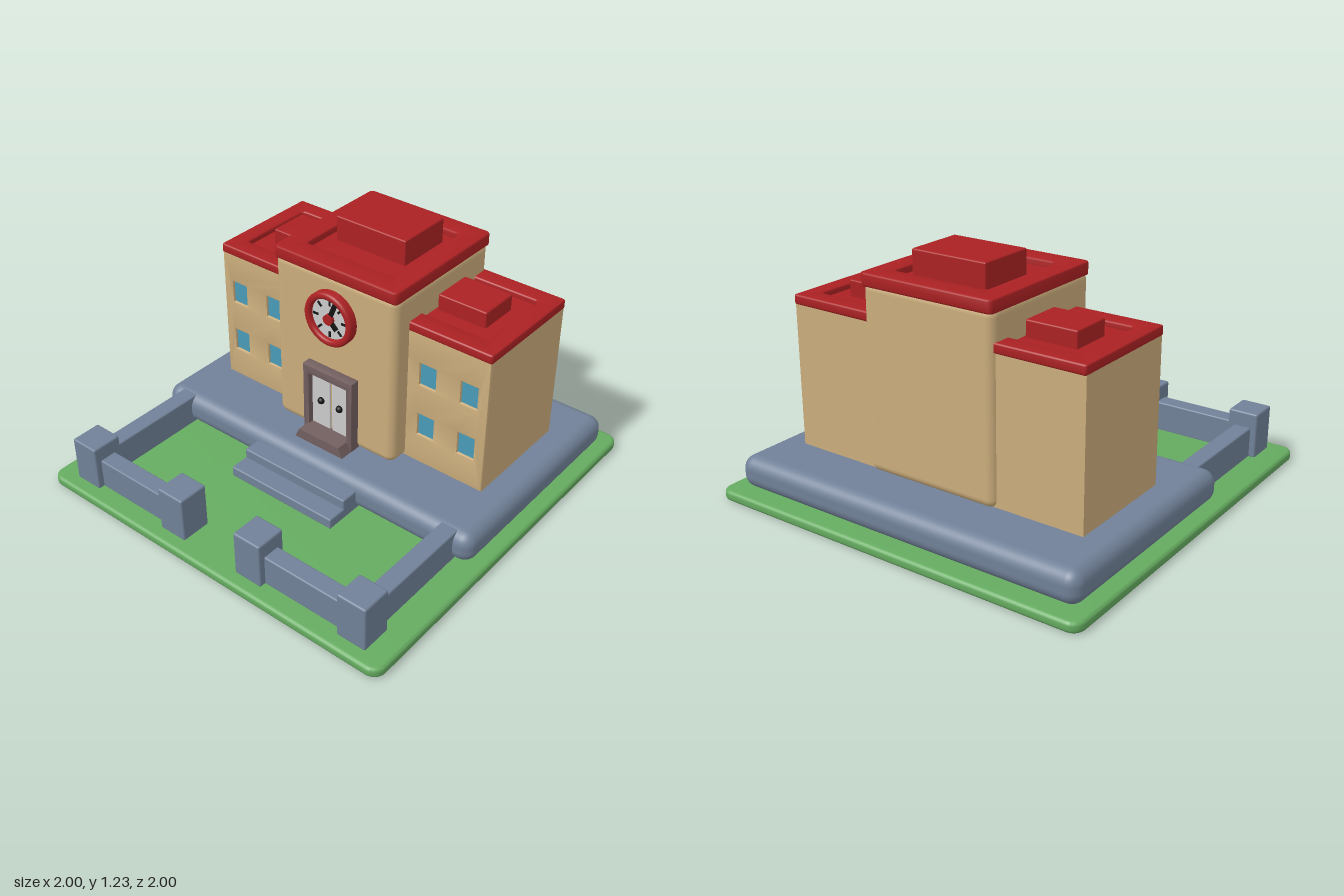
import * as THREE from 'three';
import { RoundedBoxGeometry } from 'three/addons/geometries/RoundedBoxGeometry.js';
import { toCreasedNormals } from 'three/addons/utils/BufferGeometryUtils.js';

const mat = (color) => new THREE.MeshStandardMaterial({ color });

export function createModel() {
  const root = new THREE.Group();
  root.name = 'schoolhouse';
  const grass = mat(0x65ab60), slate = mat(0x718198), wall = mat(0xcbad7c), red = mat(0xab2123);
  const brown = mat(0x735f60), glass = mat(0x4a9bb8), pale = mat(0xc4c4c4), black = mat(0x141414);

  const add = (name, geometry, material, parent = root) => {
    const mesh = new THREE.Mesh(geometry, material);
    mesh.name = name;
    parent.add(mesh);
    return mesh;
  };
  // Box given by its limits on each axis, with rounded edges when r > 0
  const box = (name, m, [x0, x1], [y0, y1], [z0, z1], r = 0, parent = root) => {
    const s = [x1 - x0, y1 - y0, z1 - z0];
    const g = r ? new RoundedBoxGeometry(...s, 4, r) : new THREE.BoxGeometry(...s);
    const mesh = add(name, g, m, parent);
    mesh.position.set((x0 + x1) / 2, (y0 + y1) / 2, (z0 + z1) / 2);
    return mesh;
  };
  // Rounded rectangle outline centred on cx, cy
  const outline = (cx, cy, w, h, r, C = THREE.Shape) => {
    const p = new C(), a = w / 2, b = h / 2;
    if (!r) {
      p.moveTo(cx - a, cy - b).lineTo(cx + a, cy - b).lineTo(cx + a, cy + b).lineTo(cx - a, cy + b);
    } else {
      p.absarc(cx + a - r, cy + b - r, r, 0, Math.PI / 2);
      p.absarc(cx - a + r, cy + b - r, r, Math.PI / 2, Math.PI);
      p.absarc(cx - a + r, cy - b + r, r, Math.PI, Math.PI * 1.5);
      p.absarc(cx + a - r, cy - b + r, r, Math.PI * 1.5, Math.PI * 2);
    }
    p.closePath();
    return p;
  };
  // Bevelled extrusion filling 0..h along z
  const slab = (shape, h, bevel, segments = 3) => {
    const g = new THREE.ExtrudeGeometry(shape, {
      depth: h - 2 * bevel, bevelSize: bevel, bevelThickness: bevel, bevelOffset: -bevel,
      bevelSegments: segments, curveSegments: 6,
    });
    g.translate(0, 0, bevel);
    return toCreasedNormals(g, 0.6);
  };

  // Lawn and raised plinth
  const lawn = slab(outline(0, 0, 2, 2, 0.06), 0.05, 0.015);
  lawn.rotateX(-Math.PI / 2);
  add('lawn', lawn, grass);
  box('plinth', slate, [-0.943, 0.943], [0.045, 0.205], [-0.922, 0.272], 0.065);

  // Entrance steps
  box('upperStep', slate, [-0.308, 0.308], [0.05, 0.155], [0.2, 0.36], 0.008);
  box('lowerStep', slate, [-0.308, 0.308], [0.05, 0.105], [0.25, 0.457], 0.008);

  // Garden walls and posts, mirrored
  for (const s of [1, -1]) {
    const side = (a, b) => (s > 0 ? [a, b] : [-b, -a]);
    box('sideWall', slate, side(0.763, 0.853), [0.045, 0.2], [0.22, 0.8], 0.008);
    box('frontWall', slate, side(0.28, 0.76), [0.045, 0.2], [0.81, 0.9], 0.008);
    box('outerPost', slate, side(0.733, 0.885), [0.045, 0.277], [0.777, 0.932], 0.01);
    box('innerPost', slate, side(0.157, 0.309), [0.045, 0.277], [0.777, 0.932], 0.01);
  }

  // Flat roof: raised rim, sunken deck and a block on top
  const roof = (name, parent, o) => {
    const g = new THREE.Group();
    g.name = name;
    parent.add(g);
    const shape = outline(o.x, -o.z, o.w, o.d, o.r);
    shape.holes.push(outline(o.x, -o.holeZ, o.holeW, o.holeD, 0.02, THREE.Path));
    const rim = slab(shape, o.y1 - o.y0, 0.008);
    rim.rotateX(-Math.PI / 2).translate(0, o.y0, 0);
    add('roofRim', rim, red, g);
    const hw = o.holeW / 2 + 0.02, hd = o.holeD / 2 + 0.02;
    box('roofDeck', red, [o.x - hw, o.x + hw], [o.y0 + 0.005, o.deck], [o.holeZ - hd, o.holeZ + hd], 0, g);
    box('roofBlock', red, [o.x - o.topW / 2, o.x + o.topW / 2], [o.y0 + 0.01, o.top], o.topZ, 0.008, g);
  };

  // Central tower
  const tower = new THREE.Group();
  tower.name = 'tower';
  root.add(tower);
  box('towerBody', wall, [-0.355, 0.355], [0.195, 1.1], [-0.665, 0.057], 0.045, tower);
  roof('towerRoof', tower, {
    x: 0, z: -0.308, w: 0.71, d: 0.735, r: 0.025, y0: 1.075, y1: 1.138, deck: 1.105,
    holeZ: -0.31, holeW: 0.495, holeD: 0.51, topW: 0.4, topZ: [-0.505, -0.208], top: 1.23,
  });

  // Side wings, each with four recessed windows
  for (const s of [1, -1]) {
    const wing = new THREE.Group();
    wing.name = s > 0 ? 'leftWing' : 'rightWing';
    root.add(wing);
    const cx = s * 0.495;
    box('wingBody', wall, [cx - 0.294, cx + 0.294], [0.2, 0.92], [-0.64, -0.06], 0, wing);
    const front = outline(cx, 0.56, 0.588, 0.72, 0);
    for (const wx of [0.463, 0.687]) {
      for (const wy of [0.418, 0.698]) {
        front.holes.push(outline(s * wx, wy, 0.088, 0.115, 0, THREE.Path));
        box('windowPane', glass, [s * wx - 0.05, s * wx + 0.05], [wy - 0.063, wy + 0.063], [-0.07, -0.056], 0, wing);
      }
    }
    const frontWall = slab(front, 0.04, 0.01, 2);
    frontWall.translate(0, 0, -0.083);
    add('wingFront', frontWall, wall, wing);
    roof('wingRoof', wing, {
      x: cx, z: -0.345, w: 0.594, d: 0.606, r: 0.012, y0: 0.905, y1: 0.952, deck: 0.925,
      holeZ: -0.347, holeW: 0.42, holeD: 0.415, topW: 0.26, topZ: [-0.455, -0.243], top: 1.005,
    });
  }

  // Doorway: bevelled frame, threshold, two leaves and knobs
  const door = new THREE.Group();
  door.name = 'doorway';
  root.add(door);
  const frame = outline(0, 0.398, 0.296, 0.396, 0);
  frame.holes.push(outline(0, 0.4, 0.228, 0.3, 0, THREE.Path));
  const frameGeo = slab(frame, 0.065, 0.006, 2);
  frameGeo.translate(0, 0, 0.042);
  add('doorFrame', frameGeo, brown, door);
  const sill = box('threshold', brown, [-0.148, 0.148], [0.2, 0.256], [0.06, 0.173], 0, door);
  const sp = sill.geometry.attributes.position;
  for (let i = 0; i < sp.count; i++) if (sp.getY(i) > 0) sp.setX(i, sp.getX(i) * 0.82);
  sill.geometry.computeVertexNormals();
  box('doorGap', wall, [-0.01, 0.01], [0.25, 0.55], [0.05, 0.068], 0, door);
  for (const s of [1, -1]) {
    box('doorLeaf', pale, s > 0 ? [0.006, 0.116] : [-0.116, -0.006], [0.248, 0.552], [0.05, 0.078], 0.004, door);
    add('doorKnob', new THREE.SphereGeometry(0.018, 16, 10), black, door).position.set(s * 0.056, 0.404, 0.082);
  }

  // Clock: lathed rim, dial, marks, hands and hub
  const clock = new THREE.Group();
  clock.name = 'clock';
  clock.position.set(0, 0.887, 0.055);
  root.add(clock);
  const profile = [[0.137, -0.01], [0.138, 0.038], [0.134, 0.046], [0.128, 0.05], [0.113, 0.05],
    [0.107, 0.046], [0.104, 0.038], [0.104, 0.01]].map(([x, y]) => new THREE.Vector2(x, y));
  const rim = toCreasedNormals(new THREE.LatheGeometry(profile, 40), 0.7);
  rim.rotateX(Math.PI / 2);
  add('clockRim', rim, new THREE.MeshStandardMaterial({ color: 0xab2123, side: THREE.DoubleSide }), clock);
  const disc = (name, r, h, m) => {
    const g = new THREE.CylinderGeometry(r, r, h, 36);
    g.rotateX(Math.PI / 2).translate(0, 0, h / 2);
    add(name, g, m, clock);
  };
  disc('clockDial', 0.106, 0.026, pale);
  disc('clockHub', 0.026, 0.046, red);
  // Radial bar from r0 to r1, turned clockwise from twelve
  const bar = (name, r0, r1, w, z, angle) => {
    const g = new THREE.BoxGeometry(w, r1 - r0, 0.01);
    g.translate(0, (r0 + r1) / 2, z).rotateZ(-angle);
    add(name, g, black, clock);
  };
  for (let i = 0; i < 8; i++) bar('hourMark', 0.068, 0.097, 0.011, 0.025, i * Math.PI / 4);
  bar('minuteHand', 0, 0.103, 0.022, 0.032, 0.38);
  bar('hourHand', 0, 0.062, 0.024, 0.034, 2.35);

  return root;
}
